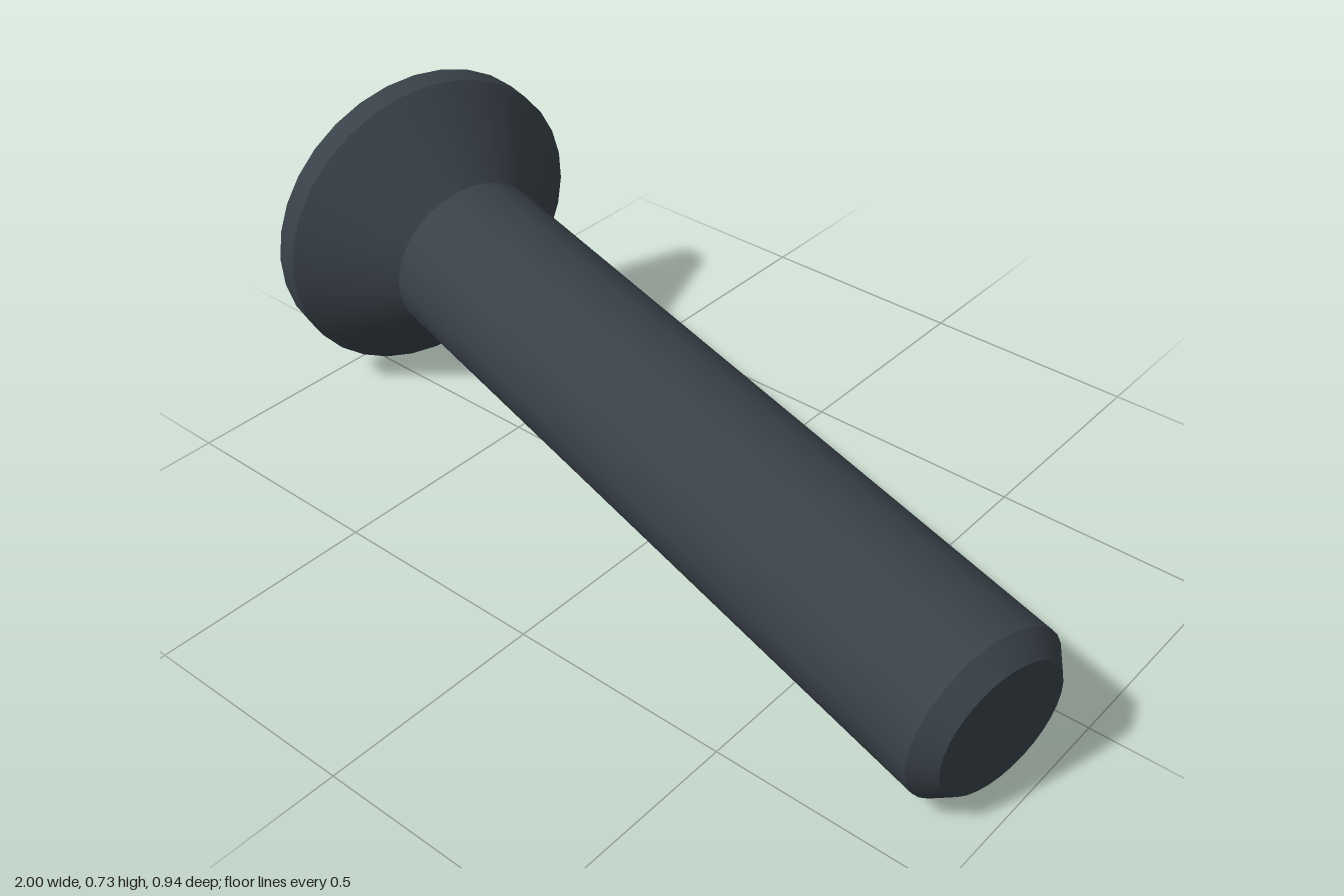
import * as THREE from 'three';

const SIDES = 32;
const HEAD_R = 0.365, SHAFT_R = 0.19, TIP_R = 0.15;
const RECESS_DEPTH = 0.16;

// Corners of a plus shape, counter-clockwise
function cross(reach, half) {
  const pts = [];
  for (let i = 0; i < 4; i++) {
    const c = Math.round(Math.cos(i * Math.PI / 2)), s = Math.round(Math.sin(i * Math.PI / 2));
    for (const [x, y] of [[reach, -half], [reach, half], [half, half]]) {
      pts.push(new THREE.Vector2(x * c - y * s, x * s + y * c));
    }
  }
  return pts;
}

function circle(r) {
  return Array.from({ length: SIDES }, (_, i) => {
    const a = i / SIDES * Math.PI * 2;
    return new THREE.Vector2(Math.cos(a) * r, Math.sin(a) * r);
  });
}

export function createModel() {
  const model = new THREE.Group();
  const screw = new THREE.Group();
  screw.name = 'screw';
  model.add(screw);
  const steel = new THREE.MeshStandardMaterial({ color: 0x394149 });
  steel.name = 'dark steel';

  const add = (name, geometry) => {
    const mesh = new THREE.Mesh(geometry, steel);
    mesh.name = name;
    screw.add(mesh);
  };

  // Turned sections along the local y axis, head to tip; separate so edges stay sharp
  const sections = [
    ['headRim', HEAD_R, 0, HEAD_R, 0.058],
    ['headCone', HEAD_R, 0.058, SHAFT_R, 0.224],
    ['shaft', SHAFT_R, 0.224, SHAFT_R, 1.89],
    ['tipChamfer', SHAFT_R, 1.89, TIP_R, 1.934],
  ];
  for (const [name, r0, y0, r1, y1] of sections) {
    add(name, new THREE.LatheGeometry([new THREE.Vector2(r0, y0), new THREE.Vector2(r1, y1)], SIDES));
  }

  // Flat end of the tip
  add('tipFace', new THREE.ShapeGeometry(new THREE.Shape(circle(TIP_R)))
    .rotateX(-Math.PI / 2).translate(0, 1.934, 0));

  // Head face with a cross-shaped opening
  const rim = cross(0.2, 0.054), base = cross(0.1, 0.042);
  const face = new THREE.Shape(circle(HEAD_R));
  face.holes.push(new THREE.Path(rim));
  add('headFace', new THREE.ShapeGeometry(face).rotateX(Math.PI / 2));

  // Sloping recess walls and the recess floor
  const pos = [];
  rim.forEach((a, i) => {
    const j = (i + 1) % rim.length;
    const b = rim[j], a2 = base[i], b2 = base[j];
    pos.push(a.x, a.y, 0, b.x, b.y, 0, b2.x, b2.y, -RECESS_DEPTH);
    pos.push(a.x, a.y, 0, b2.x, b2.y, -RECESS_DEPTH, a2.x, a2.y, -RECESS_DEPTH);
  });
  const walls = new THREE.BufferGeometry();
  walls.setAttribute('position', new THREE.Float32BufferAttribute(pos, 3));
  walls.computeVertexNormals();
  add('recessWalls', walls.rotateX(Math.PI / 2));
  add('recessFloor', new THREE.ShapeGeometry(new THREE.Shape(base))
    .rotateX(Math.PI / 2).translate(0, RECESS_DEPTH, 0));

  // Lay the screw down at its resting angle
  const axis = new THREE.Vector3(1, -0.0926, 0.215).normalize();
  const up = new THREE.Vector3(0, 1, 0).addScaledVector(axis, -axis.y).normalize();
  const side = new THREE.Vector3().crossVectors(up, axis);
  screw.quaternion.setFromRotationMatrix(new THREE.Matrix4().makeBasis(up, axis, side));
  screw.position.set(-0.917, 0.369, -0.12);
  return model;
}
